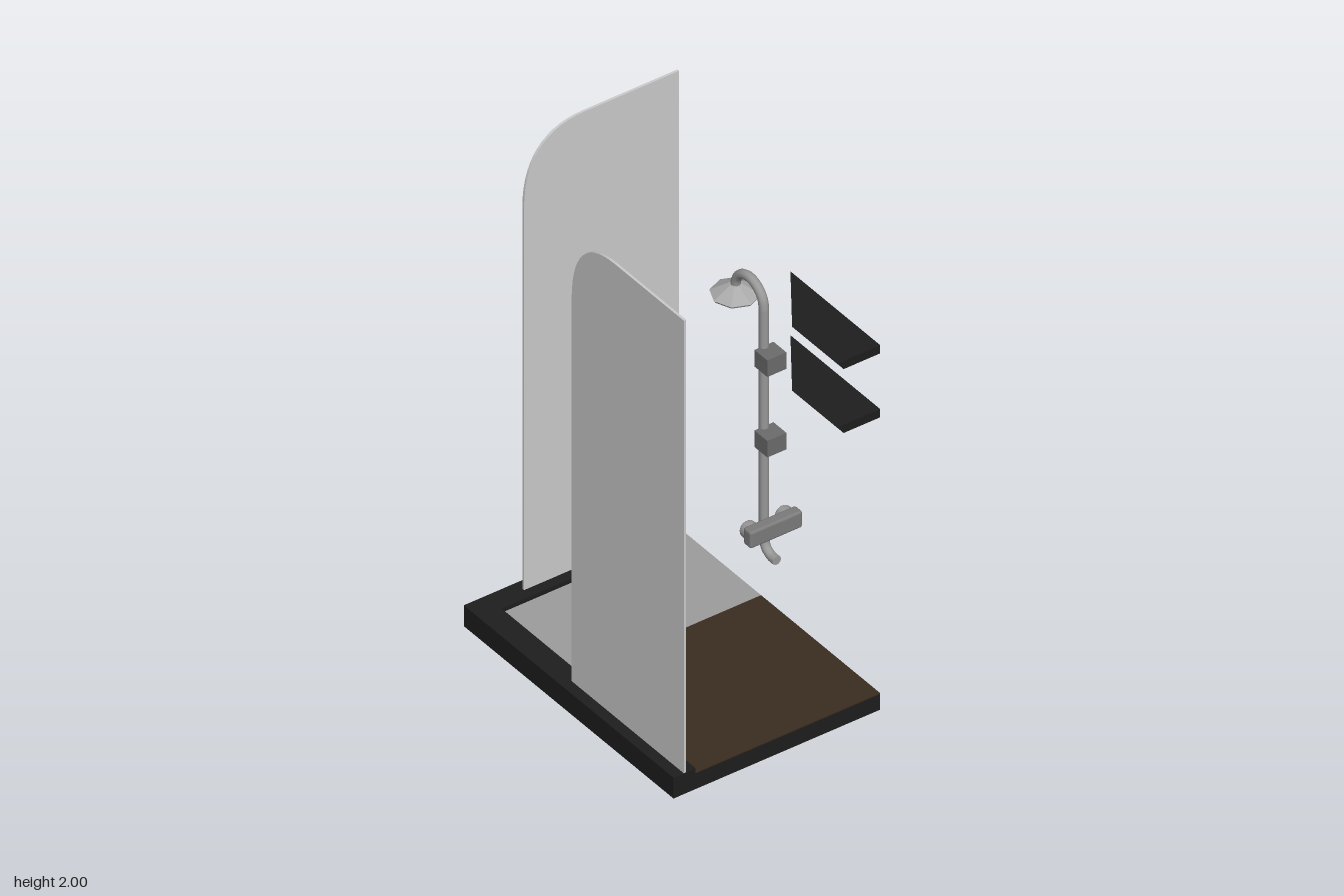
import * as THREE from 'three';
import { RoundedBoxGeometry } from 'three/addons/geometries/RoundedBoxGeometry.js';
import { ConvexGeometry } from 'three/addons/geometries/ConvexGeometry.js';

const material = (color, options = {}) => new THREE.MeshStandardMaterial({ color, ...options });
const black = material(0x1e1e1e);
const glass = material(0xcccccc);
const stone = material(0x9d9d9d);
const wood = material(0x3b2c20);
const metal = material(0x999999);
const bracketGrey = material(0x6c6c6c);

const V = (x, y, z) => new THREE.Vector3(x, y, z);

function add(parent, name, geometry, mat, x = 0, y = 0, z = 0) {
  const mesh = new THREE.Mesh(geometry, mat);
  mesh.name = name;
  mesh.position.set(x, y, z);
  parent.add(mesh);
  return mesh;
}

// Box given by its minimum and maximum corners
function span(parent, name, mat, [x0, y0, z0], [x1, y1, z1]) {
  return add(parent, name, new THREE.BoxGeometry(x1 - x0, y1 - y0, z1 - z0), mat,
    (x0 + x1) / 2, (y0 + y1) / 2, (z0 + z1) / 2);
}

// Upright glass sheet with one rounded upper corner at u = 0
function panelGeometry(width, bottom, top, thickness) {
  const shape = new THREE.Shape();
  shape.moveTo(0, bottom);
  shape.lineTo(width, bottom);
  shape.lineTo(width, top);
  shape.lineTo(0.25, top);
  shape.bezierCurveTo(0.09, top, 0, top - 0.1, 0, top - 0.3);
  shape.closePath();
  return new THREE.ExtrudeGeometry(shape, { depth: thickness, bevelEnabled: false, curveSegments: 14 });
}

// Corner shelf whose free edges slope inwards underneath
function shelfGeometry(height) {
  const outline = (y, xBack, xFront, zFront) => [
    V(xBack, y, -0.433), V(xFront, y, zFront), V(0.605, y, zFront), V(0.605, y, -0.433),
  ];
  return new ConvexGeometry([
    ...outline(height, 0.085, 0.345, -0.252),
    ...outline(-0, 0.129, 0.353, -0.28),
  ]);
}

export function createModel() {
  const model = new THREE.Group();
  model.name = 'showerCubicle';

  // Tray: slab, L-shaped rim and two-tone floor
  const tray = new THREE.Group();
  tray.name = 'tray';
  model.add(tray);
  span(tray, 'traySlab', black, [-0.61, 0, -0.433], [0.605, 0.066, 0.433]);
  span(tray, 'leftRim', black, [-0.61, 0.066, -0.433], [-0.52, 0.088, 0.433]);
  span(tray, 'frontRim', black, [-0.52, 0.066, 0.34], [0.605, 0.088, 0.433]);
  span(tray, 'stoneFloor', stone, [-0.52, 0.066, -0.433], [-0.085, 0.07, 0.34]);
  span(tray, 'woodFloor', wood, [-0.085, 0.066, -0.433], [0.605, 0.07, 0.34]);

  // Glass panels
  const sheet = panelGeometry(0.65, 0.088, 2, 0.01);
  add(model, 'frontPanel', sheet, glass, -0.045, 0, 0.38);
  const side = add(model, 'sidePanel', sheet, glass, -0.57, 0, 0.217);
  side.rotation.y = Math.PI / 2;

  // Corner shelves
  for (const y of [1.235, 1.505]) add(model, 'shelf', shelfGeometry(0.035), black, 0, y, 0);

  // Riser pipe: spout, straight run and arched top
  const shower = new THREE.Group();
  shower.name = 'shower';
  model.add(shower);
  const riserX = 0.53, headX = 0.365, archY = 1.838, radius = 0.018;
  const arch = (riserX - headX) / 2;
  const path = new THREE.CurvePath();
  path.add(new THREE.CatmullRomCurve3([
    V(0.605, 0.818, 0), V(0.575, 0.818, 0), V(0.543, 0.836, 0), V(riserX, 0.87, 0), V(riserX, 0.9, 0),
  ]));
  path.add(new THREE.LineCurve3(V(riserX, 0.9, 0), V(riserX, archY, 0)));
  path.add(new THREE.CatmullRomCurve3(Array.from({ length: 9 }, (_, i) => {
    const a = (i / 8) * Math.PI;
    return V(headX + arch + Math.cos(a) * arch, archY + Math.sin(a) * arch, 0);
  })));
  add(shower, 'riserPipe', new THREE.TubeGeometry(path, 100, radius, 10), metal);
  const spoutEnd = add(shower, 'spoutEnd', new THREE.CircleGeometry(radius, 10), metal, 0.605, 0.818, 0);
  spoutEnd.rotation.y = Math.PI / 2;

  // Octagonal shower head
  const flatMetal = material(0xaaaaaa, { flatShading: true });
  add(shower, 'showerHead', new THREE.CylinderGeometry(0.022, 0.09, 0.038, 8), flatMetal, headX, 1.827, 0);
  add(shower, 'showerHeadPlate', new THREE.CylinderGeometry(0.09, 0.085, 0.008, 8), flatMetal, headX, 1.804, 0);

  // Wall brackets
  for (const y of [1.305, 1.645]) {
    span(shower, 'bracket', bracketGrey, [0.53, y - 0.035, -0.04], [0.605, y + 0.035, 0.04]);
  }

  // Mixer bar with hot and cold knobs
  add(shower, 'mixerBar', new RoundedBoxGeometry(0.045, 0.07, 0.22, 2, 0.01), material(0x7c7c7c), 0.5825, 0.945, 0);
  const knob = new THREE.LatheGeometry([
    [0, 0.035], [0.024, 0.035], [0.03, 0.031], [0.033, 0.025], [0.033, 0],
  ].reverse().map(([r, h]) => new THREE.Vector2(r, h)), 18);
  const spot = new THREE.CylinderGeometry(0.02, 0.02, 0.002, 18);
  for (const [sign, color, label] of [[1, 0xc02010, 'hot'], [-1, 0x1030c0, 'cold']]) {
    const k = add(shower, label + 'Knob', knob, metal, 0.564, 0.945, sign * 0.074);
    k.rotation.z = Math.PI / 2;
    add(k, label + 'Marker', spot, material(color), 0, 0.036, 0);
  }
  return model;
}
